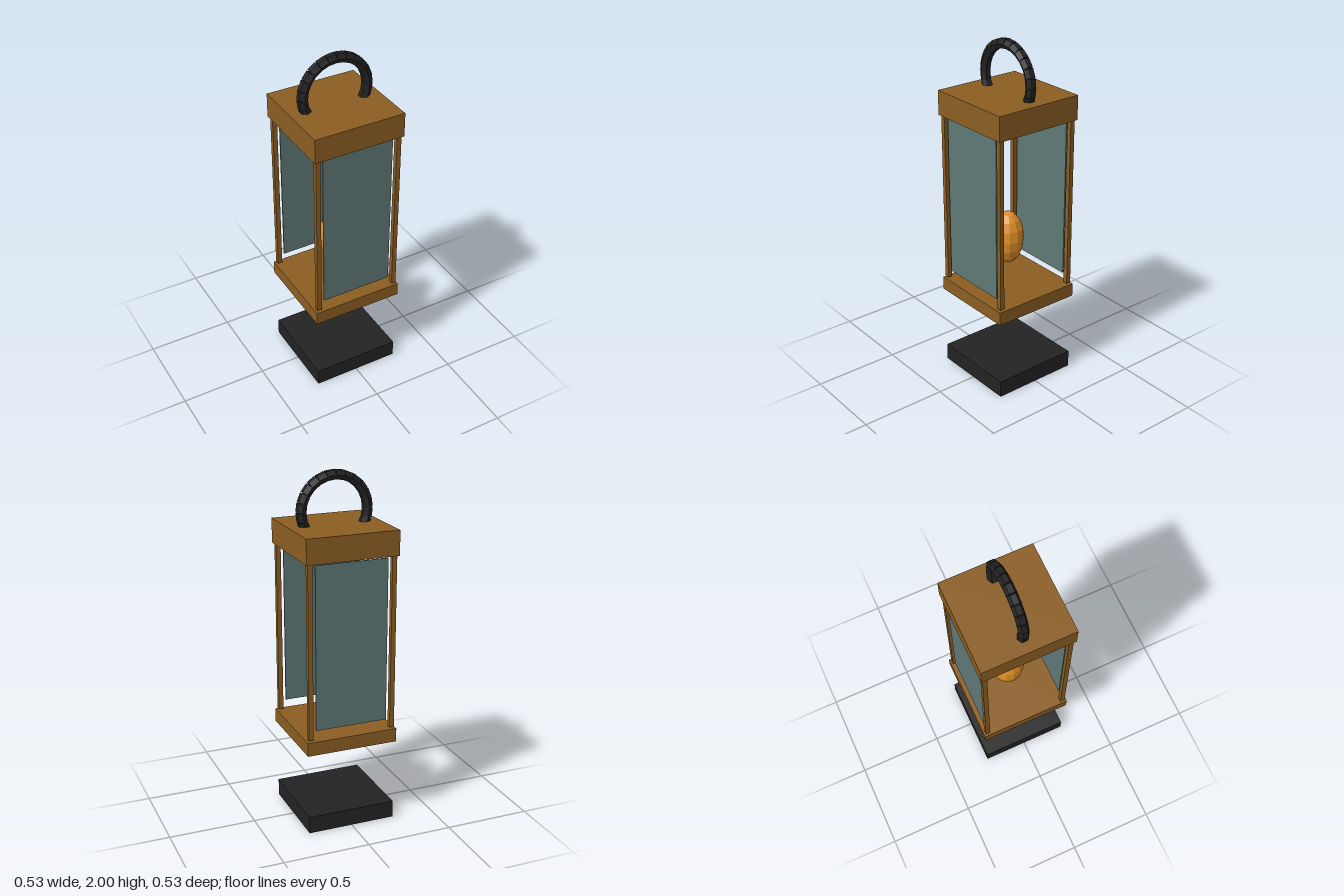
import * as THREE from 'three';

function material(name, color) {
  const m = new THREE.MeshStandardMaterial({ color });
  m.name = name;
  return m;
}

export function createModel() {
  const wood = material('wood', 0x8b5e22);
  const iron = material('blackIron', 0x232323);
  const glass = material('glass', 0x5f7976);
  const amber = material('amberFlame', 0xe08e28);
  const model = new THREE.Group();
  model.name = 'lantern';

  function add(name, geometry, mat, x, y, z, parent = model) {
    const mesh = new THREE.Mesh(geometry, mat);
    mesh.name = name;
    mesh.position.set(x, y, z);
    parent.add(mesh);
    return mesh;
  }
  // Box with a square plan, standing between two heights
  const slab = (name, width, y0, y1, mat) =>
    add(name, new THREE.BoxGeometry(width, y1 - y0, width), mat, 0, (y0 + y1) / 2, 0);

  slab('foot', 0.516, 0, 0.1, iron);
  slab('floor', 0.534, 0.482, 0.561, wood);
  slab('roof', 0.534, 1.565, 1.706, wood);

  // Corner posts
  const post = new THREE.BoxGeometry(0.027, 0.997, 0.027);
  for (const x of [-0.243, 0.243])
    for (const z of [-0.243, 0.243]) add('cornerPost', post, wood, x, 1.0685, z);

  // Glass panes, front and back only
  const pane = new THREE.BoxGeometry(0.42, 0.936, 0.008);
  add('frontPane', pane, glass, 0, 1.087, 0.243);
  add('backPane', pane, glass, 0, 1.087, -0.243);

  // Faceted flame
  const flame = new THREE.SphereGeometry(1, 12, 8).toNonIndexed();
  flame.scale(0.095, 0.159, 0.095);
  flame.computeVertexNormals();
  add('flame', flame, amber, 0, 0.844, 0);

  // Handle: straight six-sided links following an arc
  const handle = new THREE.Group();
  handle.name = 'handle';
  handle.position.y = 1.782;
  model.add(handle);
  const radius = 0.192, step = Math.PI / 12;
  const link = new THREE.CylinderGeometry(0.03, 0.03, 2 * radius * Math.sin(step / 2), 6).toNonIndexed();
  link.computeVertexNormals();
  for (let i = 0; i < 16; i++) {
    const a = -Math.PI / 6 + (i + 0.5) * step;
    const mesh = add('handleLink', link, iron, radius * Math.cos(a), radius * Math.sin(a), 0, handle);
    mesh.rotation.z = a;
  }
  return model;
}
